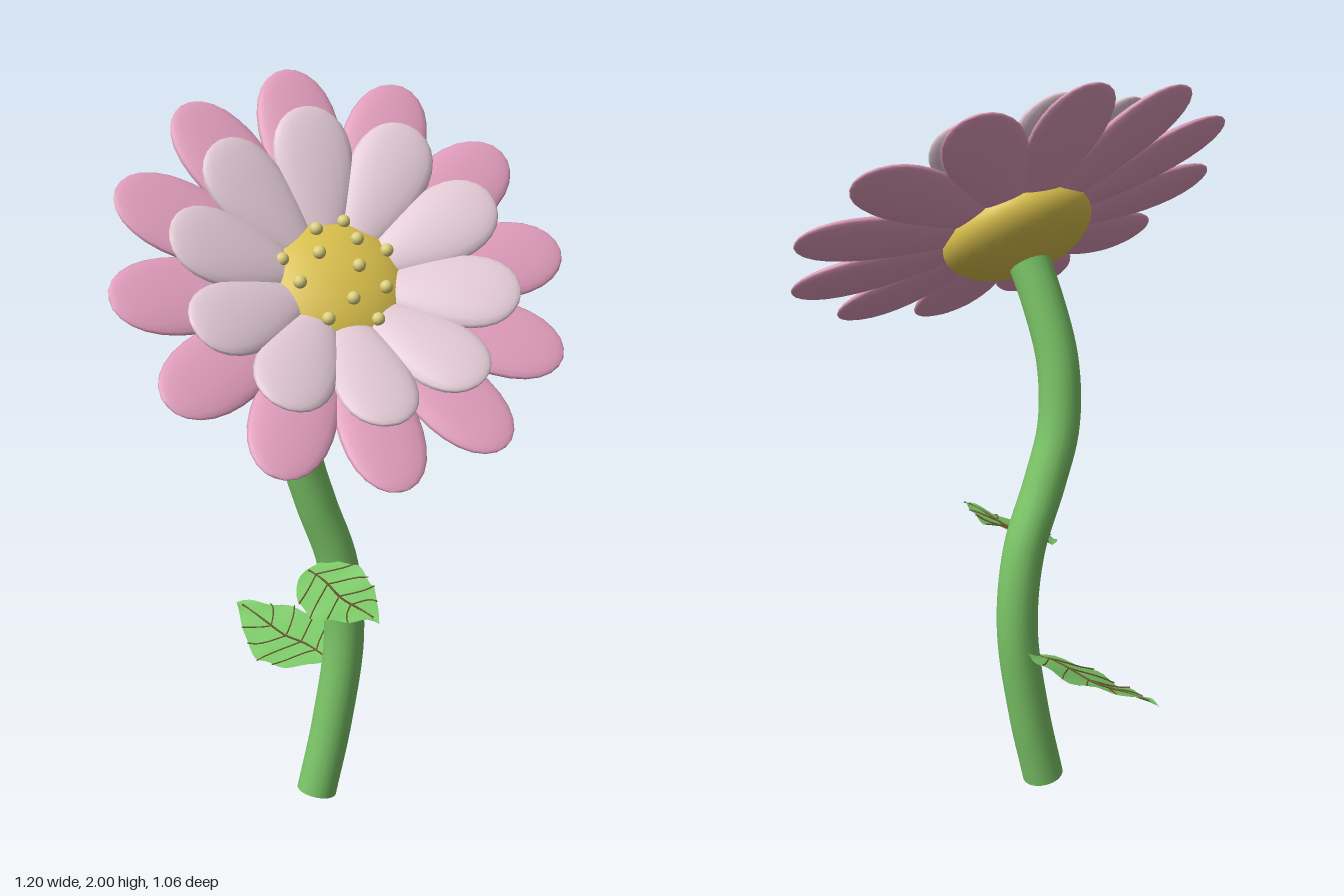
import * as THREE from 'three';
import { mergeVertices } from 'three/addons/utils/BufferGeometryUtils.js';

const mat = (name, color, side = THREE.FrontSide) => {
  const m = new THREE.MeshStandardMaterial({ color, side });
  m.name = name;
  return m;
};

function mesh(name, geometry, material, parent) {
  const m = new THREE.Mesh(geometry, material);
  m.name = name;
  parent.add(m);
  return m;
}

// Puffy petal: a sphere stretched along +y from its base and narrowed towards it
function petalGeometry(length, width, thickness) {
  let g = new THREE.SphereGeometry(1, 20, 16);
  g.deleteAttribute('normal');
  g.deleteAttribute('uv');
  g = mergeVertices(g, 1e-4);
  const p = g.attributes.position;
  for (let i = 0; i < p.count; i++) {
    const t = (p.getY(i) + 1) / 2;
    p.setXYZ(i, p.getX(i) * width * (0.45 + 0.6 * t) / 0.81, t * length, p.getZ(i) * thickness);
  }
  g.computeVertexNormals();
  return g;
}

// Ring of petals around local z, each pitched forward
function petalRing(name, count, geometry, material, baseRadius, baseHeight, pitch, parent) {
  for (let i = 0; i < count; i++) {
    const spoke = new THREE.Group();
    spoke.name = name + 'Spoke';
    spoke.rotation.z = (i / count) * Math.PI * 2;
    parent.add(spoke);
    const petal = mesh(name, geometry, material, spoke);
    petal.position.set(0, baseRadius, baseHeight);
    petal.rotation.x = pitch;
  }
}

// Wavy leaf with raised veins, running from base to tip and sloping up towards +x
function addLeaf(name, base, tip, halfWidth, leafMat, veinMat, parent) {
  const leaf = new THREE.Group();
  leaf.name = name;
  parent.add(leaf);
  const dir = tip.clone().sub(base);
  const side = new THREE.Vector3(dir.z, 0, -dir.x).normalize();
  const point = (s, v, lift = 0) => {
    const h = halfWidth * Math.sin(Math.PI * Math.pow(s, 0.72));
    const q = base.clone().addScaledVector(dir, s).addScaledVector(side, v * h);
    q.y += 0.45 * side.x * v * h + 0.008 * Math.sin(s * 9) + 0.006 * v * v * Math.sin(s * 22) + lift;
    return q;
  };
  const blade = new THREE.PlaneGeometry(1, 1, 8, 24);
  const p = blade.attributes.position;
  for (let i = 0; i < p.count; i++) {
    const q = point(p.getY(i) + 0.5, p.getX(i) * 2);
    p.setXYZ(i, q.x, q.y, q.z);
  }
  blade.computeVertexNormals();
  mesh('leafBlade', blade, leafMat, leaf);

  const vein = (s0, s1, v1, r) => {
    const pts = [0, 0.25, 0.5, 0.75, 1].map(t => point(s0 + (s1 - s0) * t, v1 * t, 0.002));
    mesh('leafVein', new THREE.TubeGeometry(new THREE.CatmullRomCurve3(pts), 12, r, 5), veinMat, leaf);
  };
  vein(0.03, 0.93, 0, 0.003);
  for (const s of [0.14, 0.3, 0.46, 0.62])
    for (const v of [-1, 1]) vein(s, s + 0.16, v * 1.04, 0.002);
}

export function createModel() {
  const V = (x, y, z) => new THREE.Vector3(x, y, z);
  const stemMat = mat('stem green', 0x7cc668);
  const leafMat = mat('leaf green', 0x78c465, THREE.DoubleSide);
  const veinMat = mat('vein brown', 0x6b5a2e);
  const outerMat = mat('deep pink', 0xe09cbb);
  const innerMat = mat('pale pink', 0xe2c9d4);
  const centreMat = mat('centre yellow', 0xdac04c);
  const beadMat = mat('pollen yellow', 0xdccf7c);

  const root = new THREE.Group();
  root.name = 'flower';

  // Curved stem with a closed lower end
  const path = new THREE.CatmullRomCurve3([
    V(0, 0.011, -0.085), V(0.045, 0.22, -0.085), V(0.08, 0.48, -0.086), V(0.06, 0.7, -0.088),
    V(0.0, 0.88, -0.09), V(-0.042, 1.03, -0.088), V(-0.05, 1.2, -0.068), V(-0.03, 1.36, -0.022),
    V(0, 1.5, 0.03),
  ]);
  mesh('stem', new THREE.TubeGeometry(path, 64, 0.055, 20), stemMat, root);
  const cap = mesh('stemEnd', new THREE.CircleGeometry(0.055, 20), stemMat, root);
  cap.position.copy(path.getPoint(0));
  cap.lookAt(cap.position.clone().sub(path.getTangent(0)));

  // Leaves
  addLeaf('upperLeaf', V(-0.03, 0.69, -0.08), V(0.04, 0.682, 0.29), 0.088, leafMat, veinMat, root);
  addLeaf('lowerLeaf', V(0.045, 0.395, -0.1), V(-0.088, 0.4, -0.53), 0.1, leafMat, veinMat, root);

  // Flower head, its face along local z and leaning back 45 degrees
  const head = new THREE.Group();
  head.name = 'flowerHead';
  head.position.set(0, 1.575, 0.105);
  head.rotation.x = -Math.PI / 4;
  root.add(head);
  petalRing('outerPetal', 12, petalGeometry(0.523, 0.11, 0.024), outerMat, 0.08, -0.06, 0.115, head);
  petalRing('innerPetal', 10, petalGeometry(0.386, 0.106, 0.028), innerMat, 0.08, -0.045, 0.29, head);

  const R = 0.2, depth = 0.095, offset = -0.07;
  const centre = mesh('flowerCentre', new THREE.SphereGeometry(1, 40, 24), centreMat, head);
  centre.scale.set(R, R, depth);
  centre.position.z = offset;

  // Pollen beads on the centre
  const beads = [
    [-0.14, 0.06], [-0.05, 0.055], [-0.035, 0.13], [0.045, 0.148], [0.06, 0.085], [0.135, 0.052],
    [0.042, 0.005], [-0.115, -0.015], [0.103, -0.055], [0.007, -0.08], [-0.064, -0.12], [0.065, -0.134],
  ];
  const beadGeo = new THREE.SphereGeometry(0.017, 14, 10);
  for (const [x, y] of beads) {
    const z = offset + depth * Math.sqrt(1 - (x * x + y * y) / (R * R));
    mesh('pollenBead', beadGeo, beadMat, head).position.set(x, y, z + 0.007);
  }
  return root;
}
